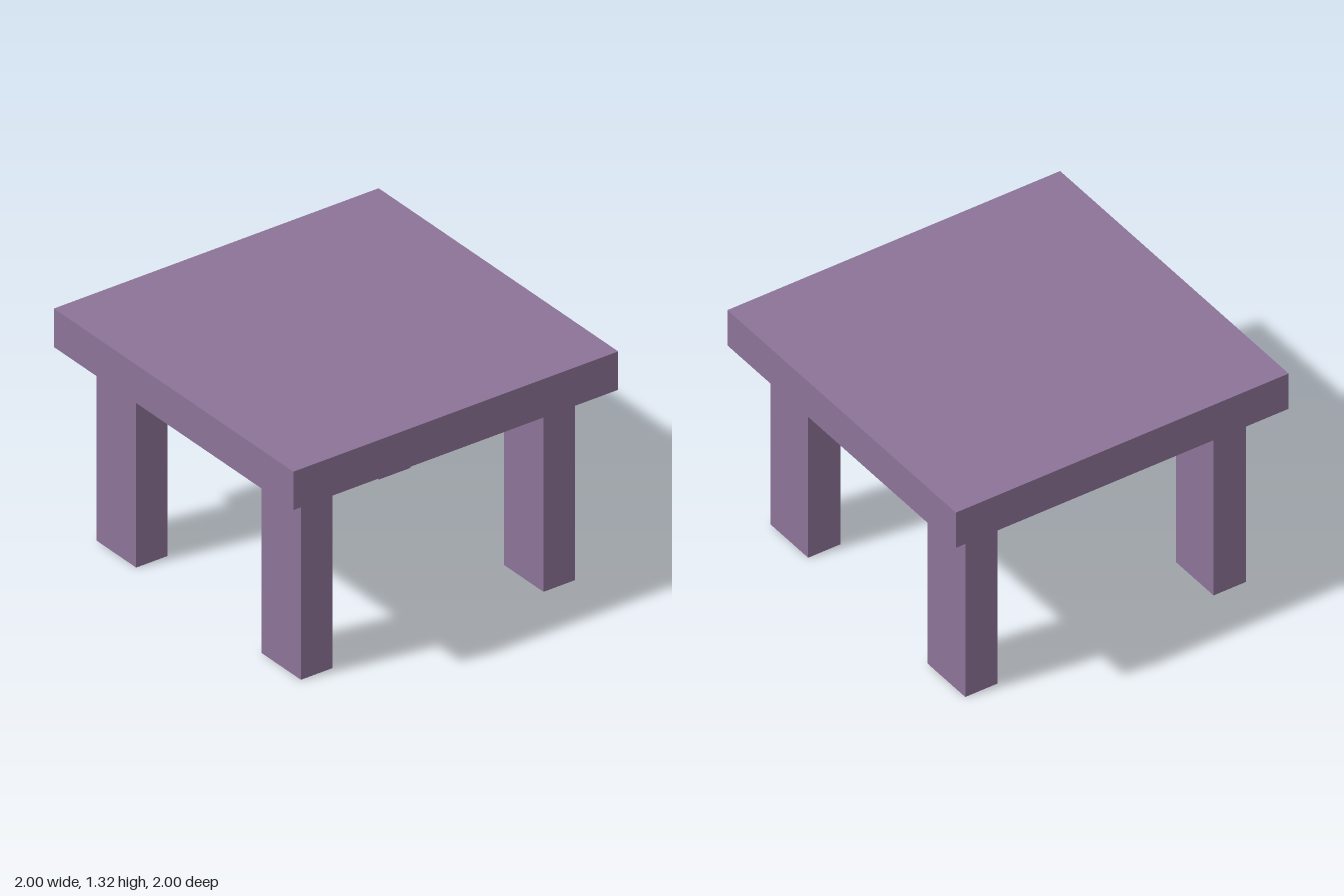
import * as THREE from 'three';

export function createModel() {
  const table = new THREE.Group();
  table.name = 'table';
  const purple = new THREE.MeshStandardMaterial({ color: 0x8c7398 });
  purple.name = 'dusty purple';

  function addBox(name, w, h, d, x, y, z) {
    const mesh = new THREE.Mesh(new THREE.BoxGeometry(w, h, d), purple);
    mesh.name = name;
    mesh.position.set(x, y, z);
    table.add(mesh);
  }

  // Square slab top
  const legHeight = 1.1, topHeight = 0.22;
  addBox('tableTop', 2, topHeight, 2, 0, legHeight + topHeight / 2, 0);

  // Rectangular legs; the left pair sits slightly further forward
  const legs = [
    ['frontLeftLeg', 0.74, 0.695],
    ['frontRightLeg', -0.742, 0.68],
    ['backLeftLeg', 0.74, -0.68],
    ['backRightLeg', -0.742, -0.695],
  ];
  for (const [name, x, z] of legs) {
    addBox(name, 0.194, legHeight, 0.33, x, legHeight / 2, z);
  }
  return table;
}
